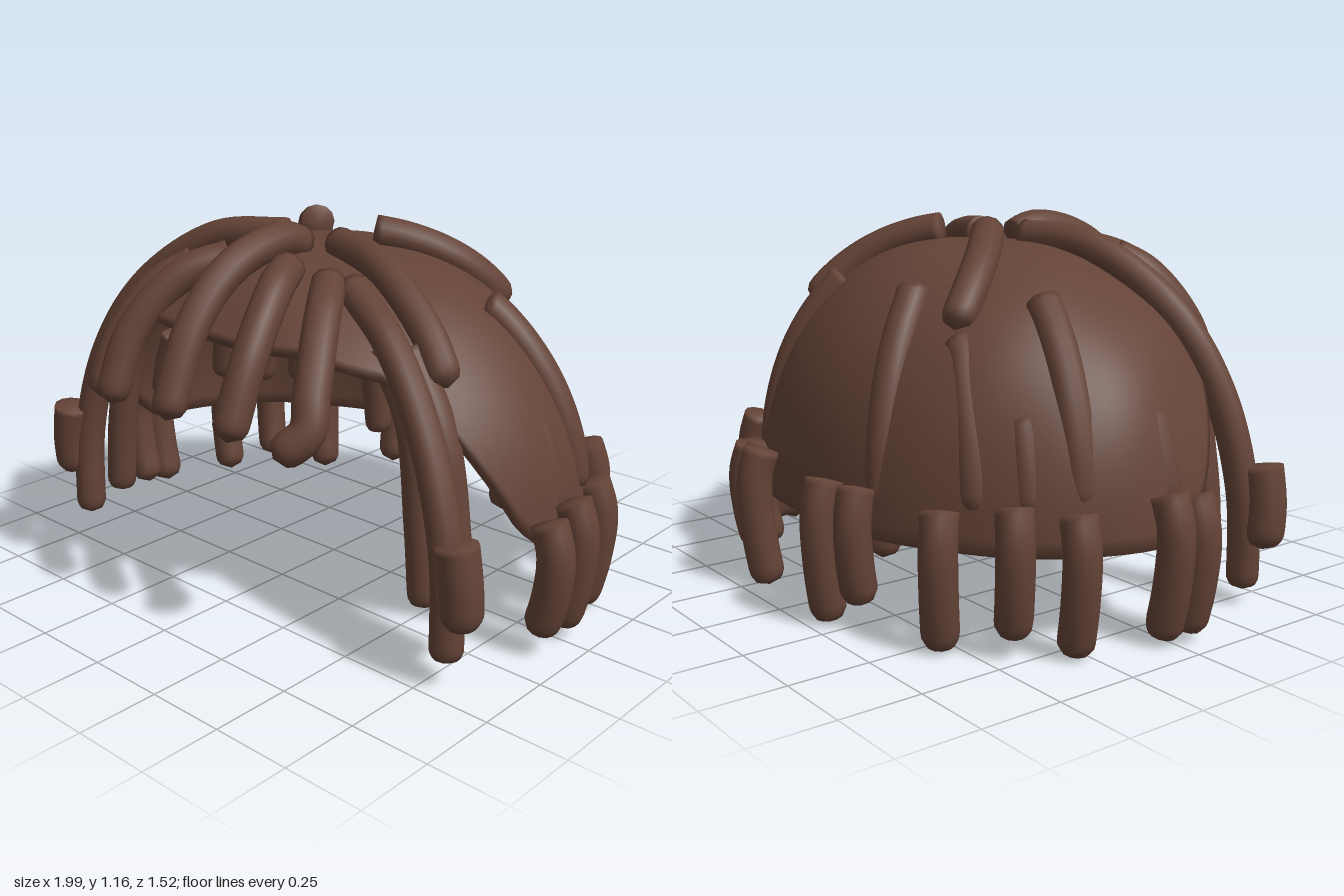
import * as THREE from 'three';
import { mergeVertices } from 'three/addons/utils/BufferGeometryUtils.js';

const brown = new THREE.MeshStandardMaterial({ color: 0x644337, side: THREE.DoubleSide });
brown.name = 'brown hair';

const BASE = 0.25, W = 0.88, H = 0.83, BACK = 0.65, FRONT = 0.79, FULLNESS = 2.25;

// Point on the scalp dome: azimuth in degrees (0 = left, 90 = front), height y, lift off the surface
function onCap(az, y, lift = 0) {
  const a = THREE.MathUtils.degToRad(az);
  const c = Math.min(1, (y - BASE) / H), s = (1 - c ** FULLNESS) ** (1 / FULLNESS);
  const p = new THREE.Vector3(W * s * Math.cos(a), y, (Math.sin(a) > 0 ? FRONT : BACK) * s * Math.sin(a));
  const n = new THREE.Vector3(p.x, p.y - BASE, p.z).normalize();
  return p.addScaledVector(n, lift);
}

// Hairline height: low round the back and sides, raised over the face
const hairline = [[-90, 0.27], [2, 0.28], [11, 0.38], [19, 0.56], [27, 0.72], [39, 0.82], [60, 0.87], [90, 0.88]];
function rimY(az) {
  let a = ((az % 360) + 360) % 360;
  if (a > 270) a -= 360;
  if (a > 90) a = 180 - a;
  for (let i = 1; i < hairline.length; i++) {
    const [a0, y0] = hairline[i - 1], [a1, y1] = hairline[i];
    if (a <= a1) return y0 + (y1 - y0) * (a - a0) / (a1 - a0);
  }
  return 0.88;
}

// Cap lofted from crown to hairline and back up the inside, with soft lumps
function capGeometry() {
  const cols = 120, half = 28, rows = half * 2 + 1, pos = [], idx = [];
  for (let r = 0; r <= rows; r++) {
    const inside = r > half;
    for (let c = 0; c < cols; c++) {
      const az = c * 360 / cols;
      const phi = Math.acos((rimY(az) - BASE) / H) * (inside ? rows - r : r) / half;
      const p = onCap(az, BASE + H * Math.cos(phi));
      const lump = 0.008 * Math.sin(9 * p.x + 4 * p.y) * Math.sin(10 * p.z - 5 * p.y);
      p.addScaledVector(new THREE.Vector3(p.x, p.y - BASE, p.z).normalize(), lump - (inside ? 0.03 : 0));
      pos.push(p.x, p.y, p.z);
      if (r < rows) {
        const d = (c + 1) % cols, i = r * cols;
        idx.push(i + c, i + d, i + cols + c, i + d, i + cols + d, i + cols + c);
      }
    }
  }
  const g = new THREE.BufferGeometry();
  g.setAttribute('position', new THREE.Float32BufferAttribute(pos, 3));
  g.setIndex(idx);
  g.computeVertexNormals();
  return g;
}

// One dreadlock: a tube with a blunt root and a rounded tip
function lockGeometry(points, radius) {
  const curve = new THREE.CatmullRomCurve3(points, false, 'centripetal');
  const len = curve.getLength(), n = Math.max(16, Math.round(len / 0.02)), sides = 12;
  let g = new THREE.TubeGeometry(curve, n, radius, sides, false);
  const pos = g.attributes.position, v = new THREE.Vector3();
  for (let i = 0; i <= n; i++) {
    const centre = curve.getPointAt(i / n);
    const d = Math.min(1, len * (1 - i / n) / radius);
    const k = i === 0 ? 0 : Math.sqrt(1 - (1 - d) * (1 - d));
    for (let j = 0; j <= sides; j++) {
      const m = i * (sides + 1) + j;
      v.fromBufferAttribute(pos, m).sub(centre).multiplyScalar(k).add(centre);
      if (i === 0) v.addScaledVector(curve.getTangentAt(0), len / n * 0.8);
      pos.setXYZ(m, v.x, v.y, v.z);
    }
  }
  g.deleteAttribute('uv');
  g.deleteAttribute('normal');
  g = mergeVertices(g, 1e-4);
  g.computeVertexNormals();
  return g;
}

export function createModel() {
  const model = new THREE.Group();
  model.name = 'dreadlockHair';
  const add = (name, g) => {
    const m = new THREE.Mesh(g, brown);
    m.name = name;
    model.add(m);
  };
  const V = (p) => new THREE.Vector3(...p);
  add('scalpCap', capGeometry());

  // Fringe locks arching out over the forehead
  const fringe = [
    [[0, 1.07, 0.13], [0, 1.105, 0.22], [0, 1.06, 0.43], [0, 0.92, 0.59], [0.01, 0.66, 0.72]],
    [[0.1, 1.05, 0.3], [0.17, 1.02, 0.43], [0.22, 0.87, 0.58], [0.23, 0.64, 0.69]],
    [[0.24, 1.03, 0.28], [0.34, 0.96, 0.42], [0.43, 0.79, 0.56], [0.45, 0.7, 0.6], [0.39, 0.63, 0.67]],
    [[-0.13, 1.05, 0.3], [-0.22, 1.0, 0.43], [-0.3, 0.84, 0.57], [-0.32, 0.62, 0.66]],
    [[-0.22, 1.03, 0.36], [-0.3, 0.96, 0.46], [-0.37, 0.8, 0.57], [-0.39, 0.62, 0.64]],
  ];
  fringe.forEach((p) => add('fringeLock', lockGeometry(p.map(V), 0.053)));

  // Long locks falling beside the face
  const long = [
    [[0.09, 1.09, 0.09], [0.34, 1.06, 0.17], [0.56, 0.92, 0.23], [0.66, 0.79, 0.26]],
    [[0.28, 1.02, 0.25], [0.5, 0.9, 0.32], [0.68, 0.68, 0.38], [0.79, 0.4, 0.42], [0.81, 0.07, 0.43]],
    [[0.52, 0.89, 0.27], [0.67, 0.67, 0.3], [0.73, 0.4, 0.31], [0.76, 0.14, 0.33]],
    [[0.46, 0.89, 0.31], [0.59, 0.7, 0.33], [0.64, 0.4, 0.34], [0.66, 0.15, 0.34]],
    [[-0.09, 1.09, 0.09], [-0.34, 1.06, 0.18], [-0.59, 0.88, 0.28], [-0.72, 0.65, 0.35], [-0.79, 0.36, 0.39], [-0.79, 0.04, 0.41]],
    [[-0.42, 0.95, 0.28], [-0.59, 0.76, 0.32], [-0.67, 0.42, 0.34], [-0.7, 0.13, 0.34]],
  ];
  long.forEach((p) => add('longSideLock', lockGeometry(p.map(V), 0.05)));
  // Stubs wrapped round the ends of the long locks
  for (const s of [1, -1])
    add('sideLockEnd', lockGeometry([[s * 0.83, 0.45, 0.43], [s * 0.85, 0.32, 0.43], [s * 0.85, 0.18, 0.42]].map(V), 0.062));

  // Locks against the inside of the back wall
  add('innerLock', lockGeometry([[-0.27, 0.65, -0.46], [-0.28, 0.42, -0.53], [-0.28, 0.2, -0.56]].map(V), 0.05));
  add('innerLock', lockGeometry([[0.4, 0.65, -0.41], [0.45, 0.4, -0.47], [0.5, 0.12, -0.49]].map(V), 0.05));

  // Locks lying over the dome, some sinking in: [azimuth, y, end azimuth, end y, lift, end lift]
  const dome = [
    [-150, 1.076, -127, 0.86, 0.03, 0], [-30, 1.076, -53, 0.86, 0.03, 0],
    [-109, 0.96, -111, 0.35, 0.0, -0.045], [-61, 0.96, -62, 0.35, 0.0, -0.045],
    [-10, 0.95, -17, 0.4, 0.0, -0.03], [-157, 0.945, -158, 0.4, 0.0, -0.045],
    [-53, 0.86, -45, 0.38, -0.04, -0.045], [-127, 0.86, -134, 0.38, -0.04, -0.045],
    [-2, 0.67, -2, 0.38, -0.05, -0.045], [178, 0.67, 178, 0.38, -0.05, -0.045],
    [-33, 0.67, -35, 0.38, -0.05, -0.045], [-145, 0.67, -146, 0.38, -0.05, -0.045],
  ];
  for (const [a0, y0, a1, y1, l0, l1] of dome) {
    const pts = [];
    for (let i = 0; i <= 6; i++) {
      const t = i / 6;
      // ease down the slope so points follow the curve near the crown
      pts.push(onCap(a0 + (a1 - a0) * Math.sqrt(t), y0 + (y1 - y0) * t ** 1.5, l0 + (l1 - l0) * t));
    }
    add('domeLock', lockGeometry(pts, 0.053));
  }

  // Short hanging locks round the rim: [x, z, top y, tip y]
  const rim = [
    [0.94, 0.11, 0.43, 0.06], [0.93, -0.03, 0.45, 0.03], [0.86, -0.25, 0.43, 0.0],
    [0.71, -0.45, 0.46, 0.07], [0.61, -0.54, 0.38, 0.0], [0.38, -0.61, 0.44, 0.08],
    [0.23, -0.7, 0.46, 0.0], [-0.18, -0.71, 0.45, 0.0], [-0.28, -0.66, 0.44, 0.07],
    [-0.57, -0.57, 0.42, 0.0], [-0.73, -0.43, 0.44, 0.05], [-0.84, -0.29, 0.42, 0.0],
    [-0.92, -0.02, 0.45, 0.01], [-0.94, 0.06, 0.44, 0.02], [0.8, -0.17, 0.36, 0.07],
  ];
  for (const [x, z, top, tip] of rim) {
    const at = (k, y) => new THREE.Vector3(x * k, y, z * k);
    add('rimLock', lockGeometry([at(0.96, top), at(1.0, top - 0.11), at(0.99, (top + tip) / 2 - 0.05), at(0.95, tip)], 0.055));
  }
  return model;
}
